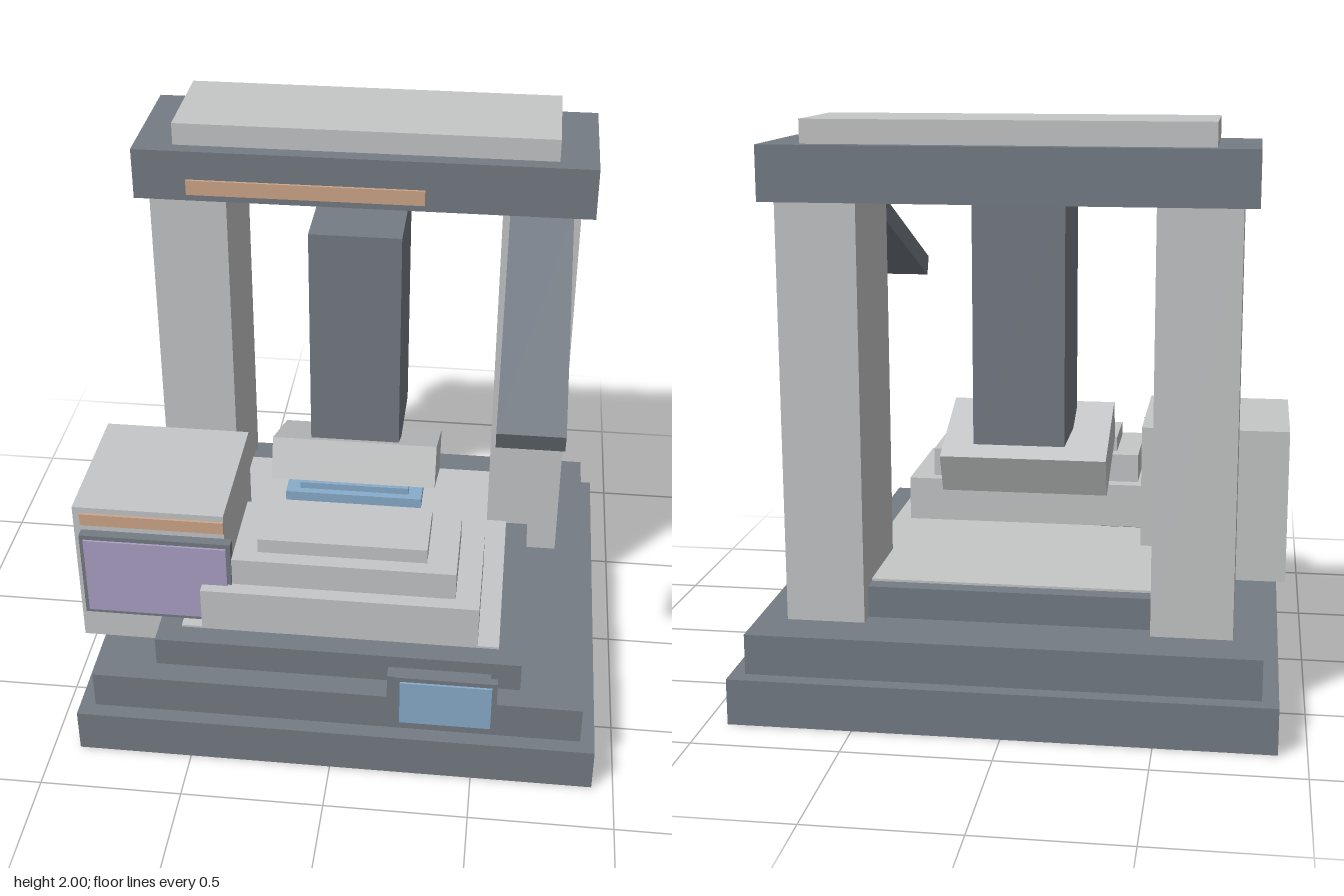
import * as THREE from 'three';

const material = (name, color) => {
  const m = new THREE.MeshStandardMaterial({ color });
  m.name = name;
  return m;
};

export function createModel() {
  const model = new THREE.Group();
  model.name = 'millingMachine';
  const steel = material('slate steel', 0x757c85);
  const grey = material('light grey', 0xc5c6c7);
  const blue = material('pale blue', 0x88adcb);
  const purple = material('pale purple', 0xaaa0c5);
  const orange = material('pale orange', 0xd0a78b);

  // Box given by its extents on each axis
  function block(name, mat, [x0, x1], [y0, y1], [z0, z1]) {
    const mesh = new THREE.Mesh(new THREE.BoxGeometry(x1 - x0, y1 - y0, z1 - z0), mat);
    mesh.position.set((x0 + x1) / 2, (y0 + y1) / 2, (z0 + z1) / 2);
    mesh.name = name;
    model.add(mesh);
    return mesh;
  }

  // Stepped base
  block('baseLower', steel, [-0.905, 0.925], [0, 0.16], [-0.84, 0.81]);
  block('baseMiddle', steel, [-0.85, 0.875], [0.16, 0.3], [-0.785, 0.755]);
  block('baseUpper', steel, [-0.637, 0.657], [0.3, 0.41], [-0.56, 0.67]);
  block('basePlate', grey, [-0.555, 0.575], [0.41, 0.418], [-0.5, 0.59]);

  // Gantry: two columns, beam, cap and accent stripe
  block('rightColumn', grey, [-0.75, -0.475], [0.3, 1.735], [-0.62, -0.165]);
  block('leftColumn', grey, [0.5, 0.77], [0.3, 1.735], [-0.62, -0.165]);
  block('topBeam', steel, [-0.8, 0.82], [1.735, 1.92], [-0.65, -0.14]);
  block('topCap', grey, [-0.662, 0.685], [1.92, 2], [-0.6, -0.195]);
  block('beamStripe', orange, [-0.61, 0.23], [1.76, 1.815], [-0.14, -0.131]);

  // Hanging head and the tilted cover below it
  block('head', steel, [-0.15, 0.17], [0.865, 1.735], [-0.32, 0.08]);
  block('tiltedCover', grey, [-0.285, 0.31], [0.714, 0.866], [-0.204, 0.16]).rotation.x = -0.396;

  // Blue stage under the cover
  block('stageLower', blue, [-0.24, 0.26], [0.667, 0.705], [-0.11, 0.132]);
  block('stageUpper', blue, [-0.19, 0.21], [0.705, 0.73], [-0.08, 0.105]);

  // Stepped work table on its rails
  block('saddle', steel, [-0.17, 0.2], [0.41, 0.44], [0.25, 0.59]);
  block('rail', steel, [-0.4, -0.23], [0.41, 0.44], [0.22, 0.43]);
  block('tableLower', grey, [-0.475, 0.5], [0.438, 0.6], [0.16, 0.617]);
  block('tableMiddle', grey, [-0.37, 0.415], [0.6, 0.705], [0.212, 0.565]);
  block('tableUpper', grey, [-0.285, 0.31], [0.705, 0.76], [0.265, 0.51]);

  // Slanted arm
  block('arm', steel, [0.525, 0.745], [1.488, 1.564], [-0.229, 0.721]).rotation.x = 0.39;

  // Control cabinet with its screen
  block('cabinet', grey, [-0.93, -0.397], [0.3, 0.866], [-0.003, 0.536]);
  block('cabinetStripe', orange, [-0.905, -0.397], [0.797, 0.843], [0.536, 0.545]);
  block('screenFrame', steel, [-0.905, -0.37], [0.435, 0.772], [0.536, 0.572]);
  block('screen', purple, [-0.89, -0.385], [0.452, 0.755], [0.572, 0.58]);

  // Small front panel
  block('panelMount', steel, [0.2, 0.553], [0.22, 0.437], [0.755, 0.803]);
  block('panelFrame', steel, [0.228, 0.578], [0.245, 0.459], [0.803, 0.832]);
  block('panelScreen', blue, [0.247, 0.56], [0.265, 0.442], [0.832, 0.84]);

  return model;
}
